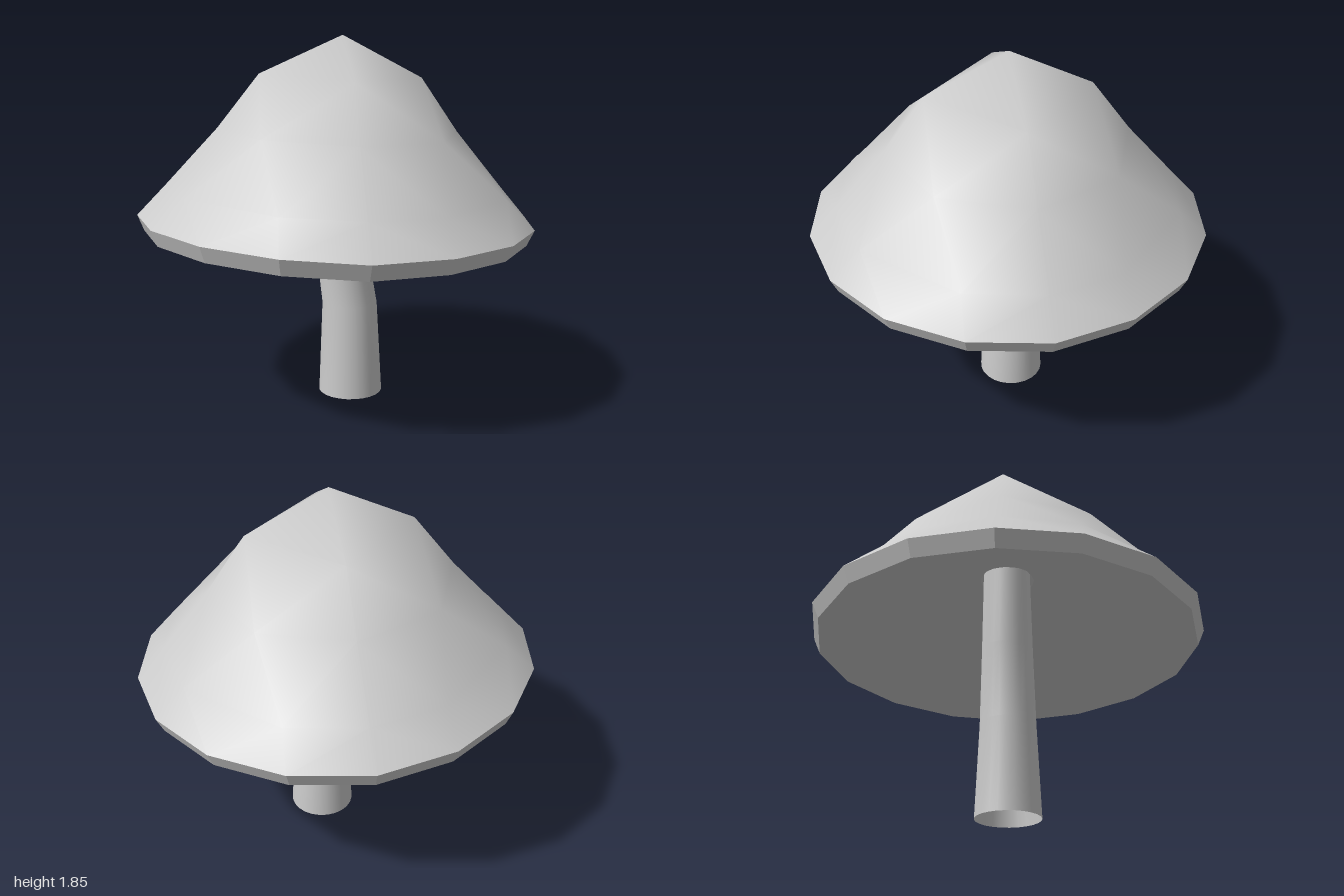
import * as THREE from 'three';

const material = new THREE.MeshStandardMaterial({ color: 0xcccccc, side: THREE.DoubleSide });

function meshFrom(name, positions, index) {
  const geometry = new THREE.BufferGeometry();
  geometry.setAttribute('position', new THREE.Float32BufferAttribute(positions, 3));
  geometry.setIndex(index);
  geometry.computeVertexNormals();
  const mesh = new THREE.Mesh(geometry, material);
  mesh.name = name;
  return mesh;
}

// A ring of points; the edge waves up slightly on the diagonals
function ring(radius, y, angles, wave = 0) {
  return angles.flatMap((a) => [
    radius * Math.cos(a), y + wave * Math.abs(Math.sin(2 * a)), radius * Math.sin(a),
  ]);
}

const evenAngles = (n) => Array.from({ length: n }, (_, i) => (i / n) * Math.PI * 2);

// Joins two rings of n points, outer side facing away from the axis
function band(name, upper, lower, flat) {
  const n = upper.length / 3;
  const index = [];
  for (let i = 0; i < n; i++) {
    const j = (i + 1) % n;
    index.push(i, j, n + i, j, n + j, n + i);
  }
  const mesh = meshFrom(name, [...upper, ...lower], index);
  if (flat) {
    mesh.geometry = mesh.geometry.toNonIndexed();
    mesh.geometry.computeVertexNormals();
  }
  return mesh;
}

// Dome: an apex and four rows, row k holding 4k points (k per quadrant)
function dome() {
  const rows = [[0, 0.91], [0.41, 0.71], [0.61, 0.44], [0.86, 0.155], [1, 0]];
  const positions = [0, rows[0][1], 0];
  const start = [0];
  for (let k = 1; k <= 4; k++) {
    start[k] = positions.length / 3;
    const angles = [];
    for (let q = 0; q < 4; q++) {
      for (let j = 0; j < k; j++) {
        const f = k === 3 ? [0, 0.285, 0.715][j] : j / k;
        angles.push((q + f) * Math.PI / 2);
      }
    }
    positions.push(...ring(rows[k][0], rows[k][1], angles, k === 4 ? 0.01 : 0));
  }
  const at = (k, i) => (k === 0 ? 0 : start[k] + (i % (4 * k)));
  const index = [];
  for (let k = 1; k <= 4; k++) {
    for (let q = 0; q < 4; q++) {
      for (let j = 0; j < k; j++) {
        const low = q * k + j;
        const high = q * (k - 1) + j;
        index.push(at(k - 1, high), at(k, low + 1), at(k, low));
        if (j < k - 1) index.push(at(k - 1, high), at(k - 1, high + 1), at(k, low + 1));
      }
    }
  }
  return meshFrom('capDome', positions, index);
}

// Stem: an open tapering tube bending towards -x
function stem() {
  const sections = [[0.075, 0, 0.165], [0.07, 0.48, 0.142], [0.015, 0.86, 0.13], [-0.04, 1.28, 0.12]];
  const n = 24;
  const positions = [];
  const index = [];
  sections.forEach(([x, y, r], s) => {
    evenAngles(n).forEach((a, i) => {
      positions.push(x + r * Math.cos(a), y, r * Math.sin(a));
      if (s === 0) return;
      const low = (s - 1) * n;
      const high = s * n;
      const j = (i + 1) % n;
      index.push(low + i, high + i, low + j, high + i, high + j, low + j);
    });
  });
  return meshFrom('stem', positions, index);
}

export function createModel() {
  const model = new THREE.Group();
  model.name = 'mushroom';

  // Cap, tipped slightly towards +x
  const cap = new THREE.Group();
  cap.name = 'cap';
  cap.position.y = 0.94;
  cap.rotation.z = -0.035;
  const angles = evenAngles(16);
  const edgeTop = ring(1, 0, angles, 0.01);
  const edgeBottom = ring(0.965, -0.08, angles, 0.01);
  const hole = ring(0.14, 0.32, angles);
  cap.add(
    dome(),
    band('capEdge', edgeTop, edgeBottom, true),
    band('capUnderside', edgeBottom, hole, false),
  );

  model.add(cap, stem());
  return model;
}
